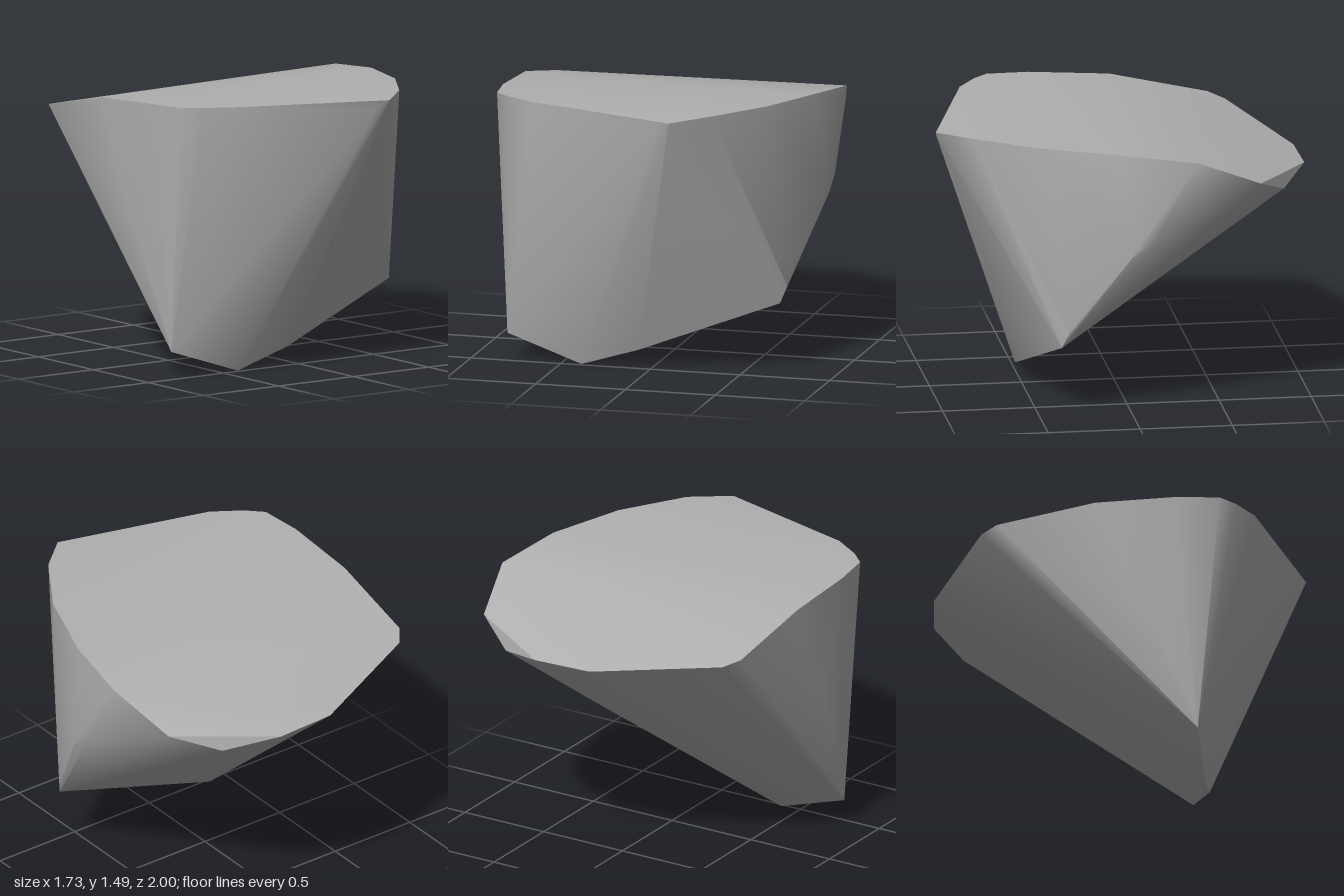
import * as THREE from 'three';
import { ConvexGeometry } from 'three/addons/geometries/ConvexGeometry.js';
import { toCreasedNormals } from 'three/addons/utils/BufferGeometryUtils.js';

export function createModel() {
  const stone = new THREE.MeshStandardMaterial({ color: 0xb0b0b0 });
  stone.name = 'stone grey';

  // Corners of the gently domed top, clockwise from the back
  const top = [
    [-0.1, 1.24, -0.99], [0.24, 1.235, -1], [0.76, 1.275, -0.69], [0.863, 1.43, -0.34],
    [0.8, 1.472, 0.07], [0.65, 1.488, 0.49], [0.43, 1.494, 0.83], [0.24, 1.482, 1],
    [-0.59, 1.494, 0.75], [-0.75, 1.492, 0.65], [-0.835, 1.49, 0.57],
    [-0.865, 1.483, 0.34], [-0.862, 1.456, -0.1], [-0.835, 1.344, -0.63], [-0.77, 1.318, -0.715],
  ];
  // Chipped corners just under the rim
  const chips = [[0.17, 1.445, 0.987], [0.52, 1.175, -0.85]];
  // Flanks narrowing downwards
  const flanks = [[0.863, 0.92, 0.02], [0.863, 1.0, -0.1], [0.72, 0.47, 0.345], [-0.86, 0.8, 0.17]];
  // Wedge-shaped lower edge
  const foot = [[-0.81, 0.14, 0.45], [-0.39, 0, 0.48], [-0.07, 0.1, 0.492], [0.69, 0.38, 0.38]];

  const points = [...top, ...chips, ...flanks, ...foot].map((p) => new THREE.Vector3(...p));
  const rock = new THREE.Mesh(toCreasedNormals(new ConvexGeometry(points), 0.7), stone);
  rock.name = 'rock';

  const group = new THREE.Group();
  group.name = 'wedgeRock';
  group.add(rock);
  return group;
}
